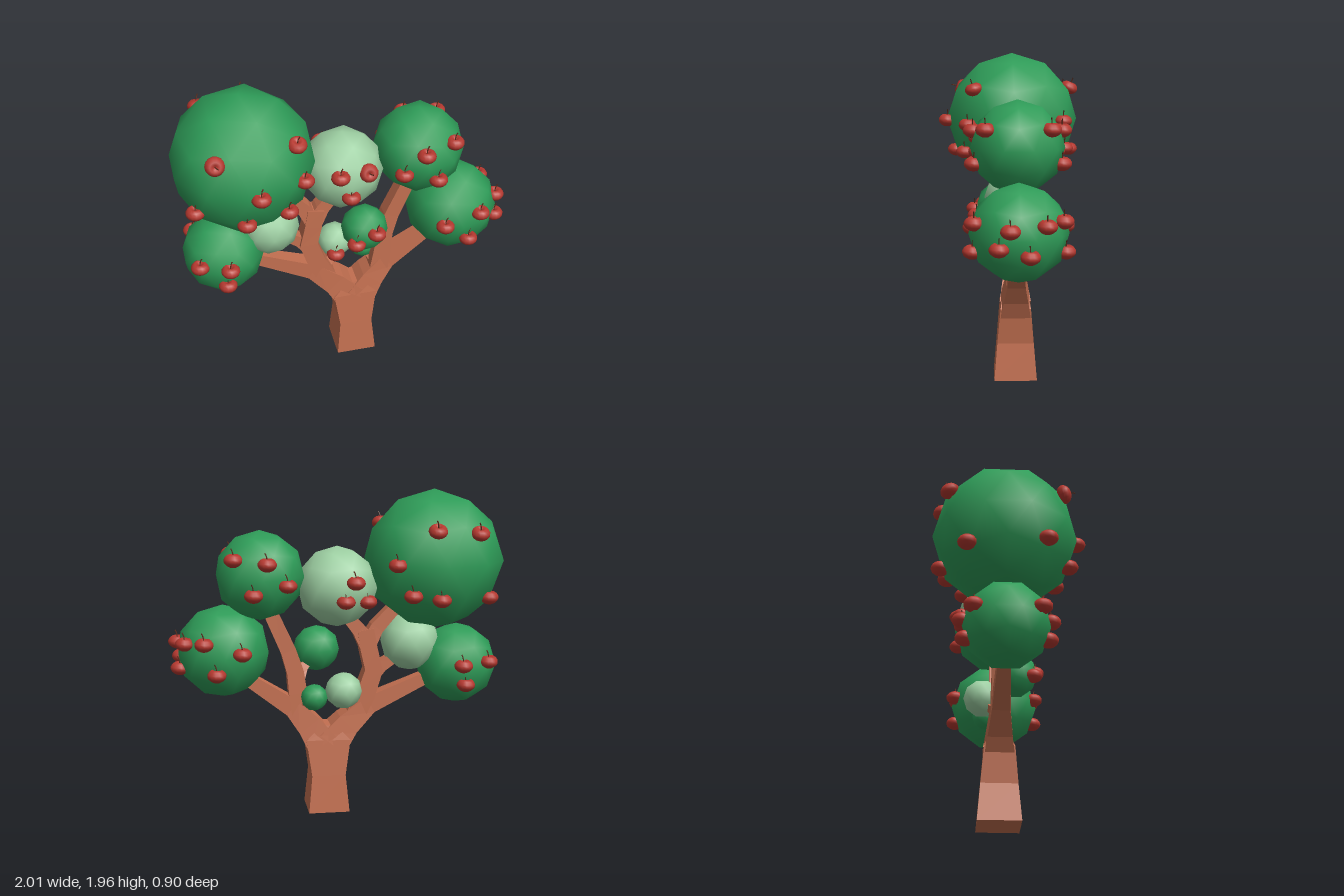
import * as THREE from 'three';

const mat = (color, flatShading = false) => new THREE.MeshStandardMaterial({ color, flatShading });
const bark = mat(0xc26f50, true);
const darkLeaf = mat(0x2e9c58);
const paleLeaf = mat(0x9dcfa2);
const appleSkin = mat(0xb5382f);
const stemBark = mat(0x5a2c1c, true);

function part(name, geometry, material) {
  const mesh = new THREE.Mesh(geometry, material);
  mesh.name = name;
  return mesh;
}

// Four-sided limb along a path; width and depth give the half sizes at a fraction of its points
function limb(name, path, width, depth) {
  const pts = path.map(([x, y, z = 0]) => new THREE.Vector3(x, y, z));
  const last = pts.length - 1;
  const pos = [], index = [];
  pts.forEach((p, i) => {
    const t = pts[Math.min(i + 1, last)].clone().sub(pts[Math.max(i - 1, 0)]).normalize();
    const u = new THREE.Vector3().crossVectors(t, new THREE.Vector3(0, 0, 1)).normalize();
    const v = new THREE.Vector3().crossVectors(u, t);
    const w = width(i / last), d = depth(i / last);
    for (const [a, b] of [[1, 1], [1, -1], [-1, -1], [-1, 1]]) {
      pos.push(...p.clone().addScaledVector(u, a * w).addScaledVector(v, b * d));
    }
    if (i === last) return;
    for (let j = 0; j < 4; j++) {
      const a = i * 4 + j, b = i * 4 + (j + 1) % 4;
      index.push(a, b, b + 4, a, b + 4, a + 4);
    }
  });
  const e = last * 4;
  index.push(0, 2, 1, 0, 3, 2, e, e + 1, e + 2, e, e + 2, e + 3);
  const g = new THREE.BufferGeometry();
  g.setAttribute('position', new THREE.Float32BufferAttribute(pos, 3));
  g.setIndex(index);
  g.computeVertexNormals();
  return part(name, g, bark);
}

// Limb that narrows evenly from one half size to another
function branch(name, from, to, ...path) {
  const taper = (f) => THREE.MathUtils.lerp(from, to, f);
  return limb(name, path, taper, taper);
}

function makeWood() {
  const wood = new THREE.Group();
  wood.name = 'wood';
  // Trunk: flared foot, waist, wide shoulder and narrow crotch
  const trunkWidths = [0.125, 0.103, 0.135, 0.045];
  wood.add(
    limb('trunk', [[0.065, 0], [0.065, 0.23], [0.065, 0.45], [0.06, 0.54]],
      (f) => trunkWidths[Math.round(f * 3)], (f) => 0.13 - 0.057 * f),
    branch('leftSideLimb', 0.095, 0.033, [0.04, 0.42], [-0.06, 0.54], [-0.2, 0.655], [-0.62, 0.84]),
    branch('rightSideLimb', 0.095, 0.035, [0.1, 0.42], [0.18, 0.54], [0.28, 0.65], [0.6, 0.87]),
    branch('leftUpperLimb', 0.06, 0.05, [-0.09, 0.56], [-0.17, 0.72], [-0.22, 0.87], [-0.19, 1], [-0.17, 1.12]),
    branch('crownBranch', 0.05, 0.035, [-0.18, 1.02], [-0.24, 1.13], [-0.38, 1.28]),
    branch('centreBranch', 0.05, 0.035, [-0.18, 1.03], [-0.13, 1.12], [-0.03, 1.24]),
    branch('paleLeafBranch', 0.042, 0.03, [-0.19, 0.8], [-0.27, 0.89], [-0.38, 0.96]),
    branch('rightUpperLimb', 0.06, 0.042, [0.22, 0.58], [0.245, 0.74], [0.26, 0.87], [0.3, 1], [0.42, 1.27]),
    branch('innerBranch', 0.036, 0.022, [0.25, 0.78], [0.21, 0.88, 0.04], [0.14, 0.96, 0.08]),
    branch('leftTwig', 0.035, 0.02, [-0.13, 0.62], [-0.08, 0.68, -0.04], [-0.03, 0.75, -0.09]),
    branch('rightTwig', 0.035, 0.02, [0.23, 0.62], [0.19, 0.67, -0.04], [0.15, 0.71, -0.07]),
  );
  return wood;
}

// Apple: dimpled lathe body with a bent stem
const appleOutline = new THREE.SplineCurve([
  [0, -0.027], [0.02, -0.036], [0.05, -0.015], [0.055, 0.013], [0.03, 0.039], [0, 0.02],
].map(([x, y]) => new THREE.Vector2(x, y)));
const bodyGeometry = new THREE.LatheGeometry(
  appleOutline.getPoints(10).map((p) => p.setX(Math.max(0, p.x))), 14);
const stemGeometry = new THREE.TubeGeometry(new THREE.QuadraticBezierCurve3(
  new THREE.Vector3(0, 0.015, 0), new THREE.Vector3(0, 0.055, 0), new THREE.Vector3(0.014, 0.073, 0),
), 4, 0.0035, 5);

// Smooth low-poly ball with a corner at its pole
const ball = new THREE.IcosahedronGeometry(1, 1);
ball.rotateZ(-Math.atan(2 / (1 + Math.sqrt(5))));

// Leaf ball with apples on its skin, given as [x, y, forward tilt]; the back repeats the front by default
function crown(name, leaf, r, [cx, cy, cz = 0], front = [], back = front) {
  const group = new THREE.Group();
  group.name = name;
  const leaves = part('leaves', ball, leaf);
  leaves.scale.setScalar(r);
  group.add(leaves);
  for (const [side, apples] of [[1, front], [-1, back]]) {
    apples.forEach(([x, y, tilt = 0], i) => {
      const apple = new THREE.Group();
      apple.name = 'apple';
      apple.add(part('appleBody', bodyGeometry, appleSkin), part('appleStem', stemGeometry, stemBark));
      const dx = x - cx, dy = y - cy;
      apple.position.set(dx, dy, side * Math.sqrt(Math.max(0, r * r - dx * dx - dy * dy)));
      apple.rotation.set(side * tilt, (i % 3 - 1) * 0.3, 0);
      group.add(apple);
    });
  }
  group.position.set(cx, cy, cz);
  return group;
}

export function createModel() {
  const tree = new THREE.Group();
  tree.name = 'appleTree';
  tree.add(
    makeWood(),
    crown('largeCrown', darkLeaf, 0.423, [-0.59, 1.54],
      [[-0.78, 1.73, 1.2], [-0.31, 1.74, 0.3], [-0.55, 1.53], [-0.28, 1.52], [-0.9, 1.36], [-0.63, 1.33], [-0.38, 1.34]],
      [[-0.79, 1.72, 0.4], [-0.53, 1.74, 0.4], [-0.31, 1.54], [-0.88, 1.33], [-0.56, 1.34], [-0.4, 1.36]]),
    crown('lowerLeftCrown', darkLeaf, 0.248, [-0.74, 0.895], [[-0.9, 0.93], [-0.73, 0.92], [-0.75, 0.8]]),
    crown('paleLeftCrown', paleLeaf, 0.182, [-0.45, 1.04]),
    crown('paleCentreCrown', paleLeaf, 0.245, [0, 1.385],
      [[-0.06, 1.46], [0.11, 1.46, 1.2], [0, 1.32]], [[-0.08, 1.43], [-0.02, 1.32], [-0.16, 1.31]]),
    crown('upperRightCrown', darkLeaf, 0.27, [0.465, 1.46], [[0.32, 1.42], [0.44, 1.55], [0.52, 1.37], [0.63, 1.57]]),
    crown('lowerRightCrown', darkLeaf, 0.28, [0.69, 1.01],
      [[0.58, 1.02], [0.8, 1.08], [0.73, 0.91], [0.96, 1.06], [0.94, 0.96]],
      [[0.59, 1.03], [0.81, 1.09], [0.74, 0.91], [0.95, 0.92], [0.92, 1.08]]),
    crown('innerCrown', darkLeaf, 0.142, [0.115, 0.99, 0.1], [[0.16, 1.02], [0.04, 0.95]], []),
    crown('paleTwigCrown', paleLeaf, 0.112, [-0.025, 0.765, -0.105], [[-0.04, 0.725]], []),
    crown('twigCrown', darkLeaf, 0.082, [0.15, 0.72, -0.075]),
  );
  return tree;
}
